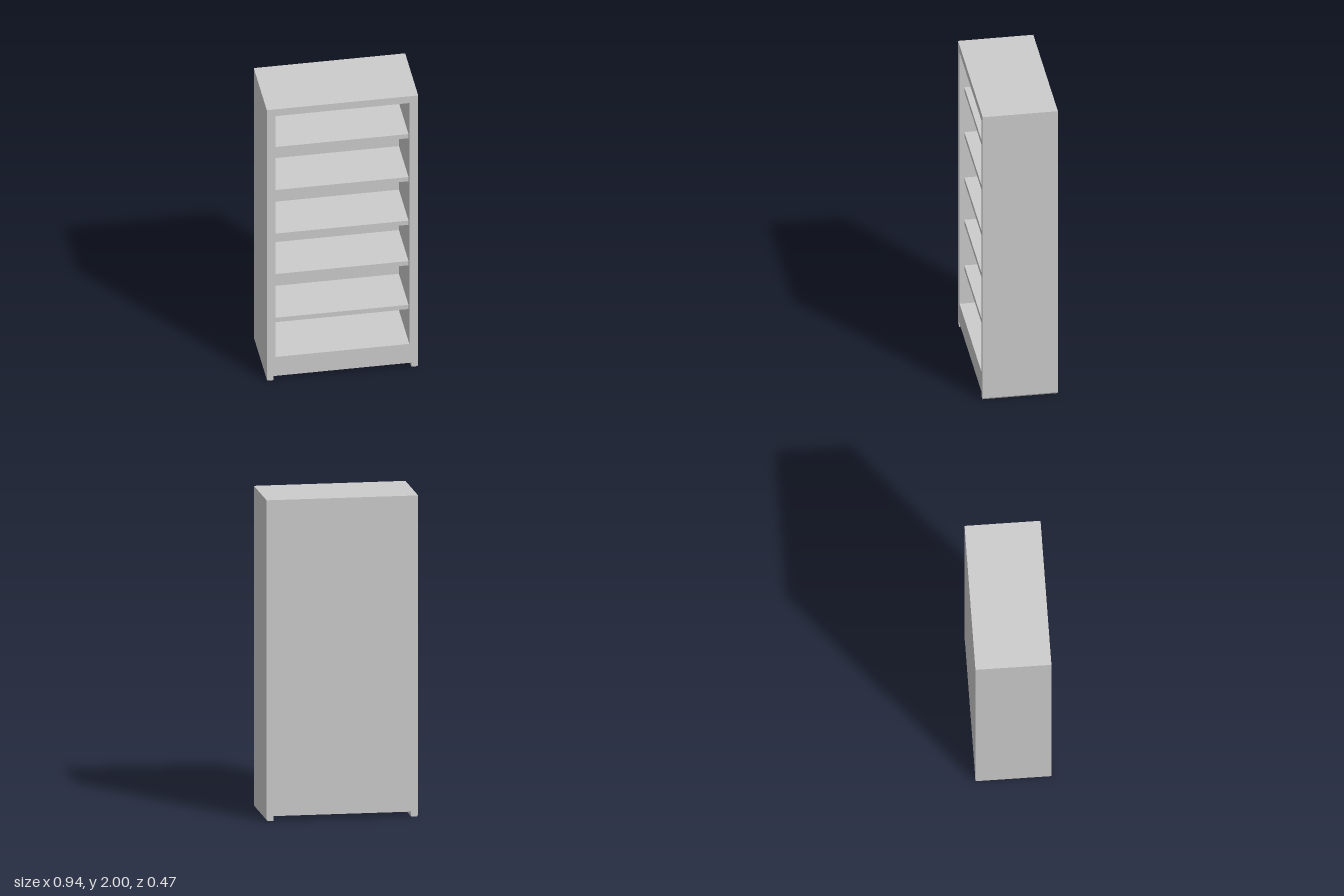
import * as THREE from 'three';

const W = 0.47;        // half width
const D = 0.233;       // half depth
const IN = 0.415;      // half width of the opening
const BACK = -0.14;    // inner face of the back
const FLOOR = 0.17, CEILING = 1.95;
const FOOT = 0.03, FOOT_IN = 0.427;

export function createModel() {
  const group = new THREE.Group();
  group.name = 'bookcase';
  const material = new THREE.MeshStandardMaterial({ color: 0xcccccc, flatShading: true });

  const add = (name, geometry) => {
    const mesh = new THREE.Mesh(geometry, material);
    mesh.name = name;
    group.add(mesh);
  };

  // Box given by its lower and upper limits on each axis
  const box = (name, [x0, x1], [y0, y1], [z0, z1]) => {
    const geometry = new THREE.BoxGeometry(x1 - x0, y1 - y0, z1 - z0);
    geometry.translate((x0 + x1) / 2, (y0 + y1) / 2, (z0 + z1) / 2);
    add(name, geometry);
  };

  // Side panels, each running down into a full-depth foot with a chamfered outer edge
  for (const [name, s] of [['leftSide', 1], ['rightSide', -1]]) {
    const profile = [
      [IN, FOOT], [FOOT_IN, FOOT], [FOOT_IN, 0], [W - 0.006, 0],
      [W, 0.01], [W, 2], [IN, 2],
    ].map(([x, y]) => new THREE.Vector2(s * x, y));
    const geometry = new THREE.ExtrudeGeometry(new THREE.Shape(profile), { depth: 2 * D, bevelEnabled: false });
    geometry.translate(0, 0, -D);
    add(name, geometry);
  }

  // Top, plinth and thick back fill the space between the sides
  box('top', [-IN, IN], [CEILING, 2], [-D, D]);
  box('plinth', [-IN, IN], [FOOT, FLOOR], [-D, D]);
  box('back', [-IN, IN], [FLOOR, CEILING], [-D, BACK]);

  // Shelves, set back slightly from the front
  [0.408, 0.731, 1.03, 1.352, 1.67].forEach((y, i) => {
    box(`shelf${i + 1}`, [-IN, IN], [y, y + 0.031], [BACK, 0.203]);
  });

  return group;
}
